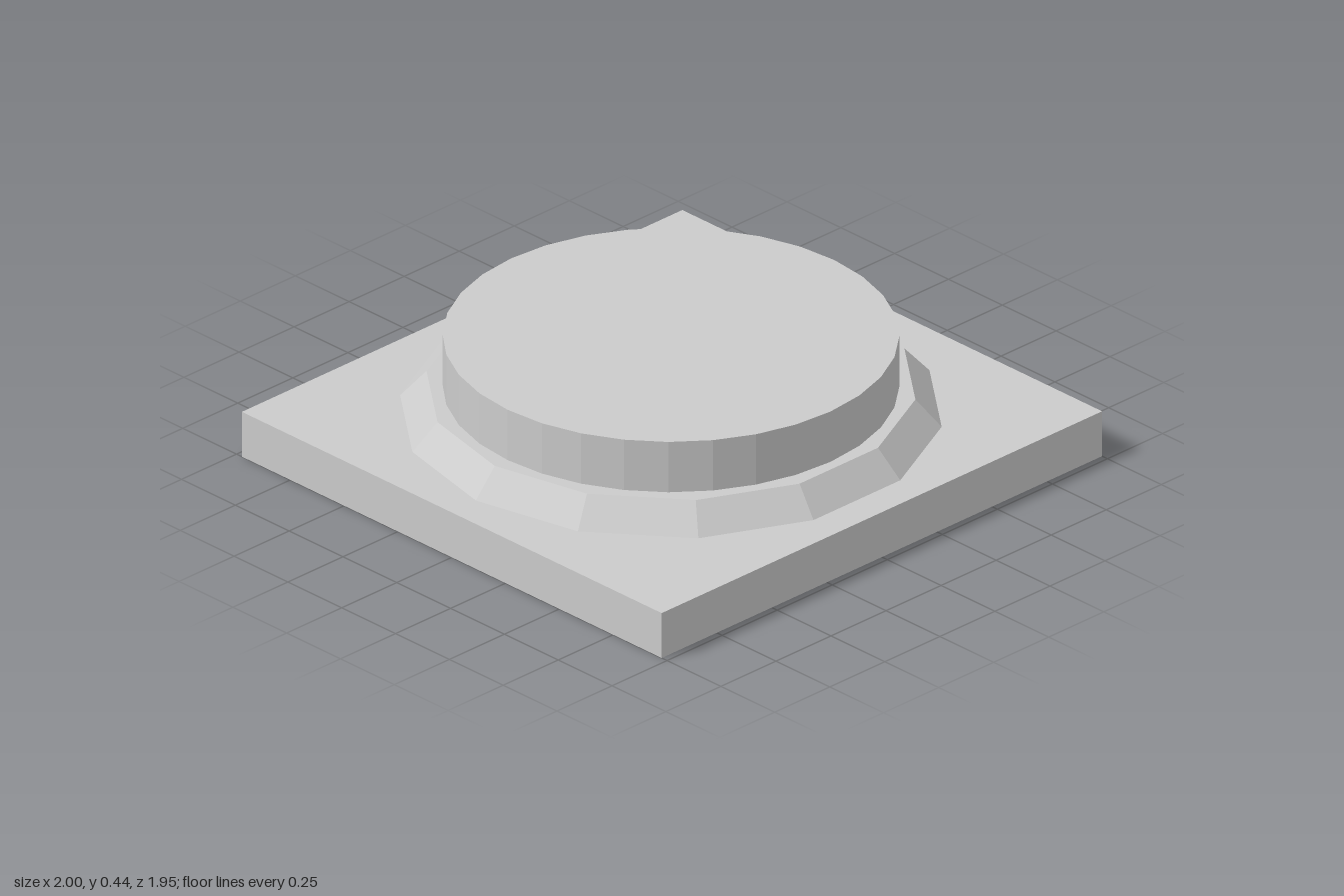
import * as THREE from 'three';

export function createModel() {
  const model = new THREE.Group();
  const material = new THREE.MeshStandardMaterial({ color: 0xcccccc, flatShading: true });

  const add = (name, geometry, bottom, height, z = 0) => {
    const mesh = new THREE.Mesh(geometry, material);
    mesh.name = name;
    mesh.position.set(0, bottom + height / 2, z);
    model.add(mesh);
  };

  // Nearly square base plate
  add('basePlate', new THREE.BoxGeometry(2, 0.165, 1.95), 0, 0.165);

  // Sloped 14-sided collar, with corners on the x axis
  add('collar', new THREE.CylinderGeometry(0.8, 0.886, 0.095, 14, 1, false, Math.PI / 2), 0.165, 0.095, -0.005);

  // Round raised disc
  add('disc', new THREE.CylinderGeometry(0.742, 0.742, 0.185, 32), 0.26, 0.185, -0.005);

  return model;
}
